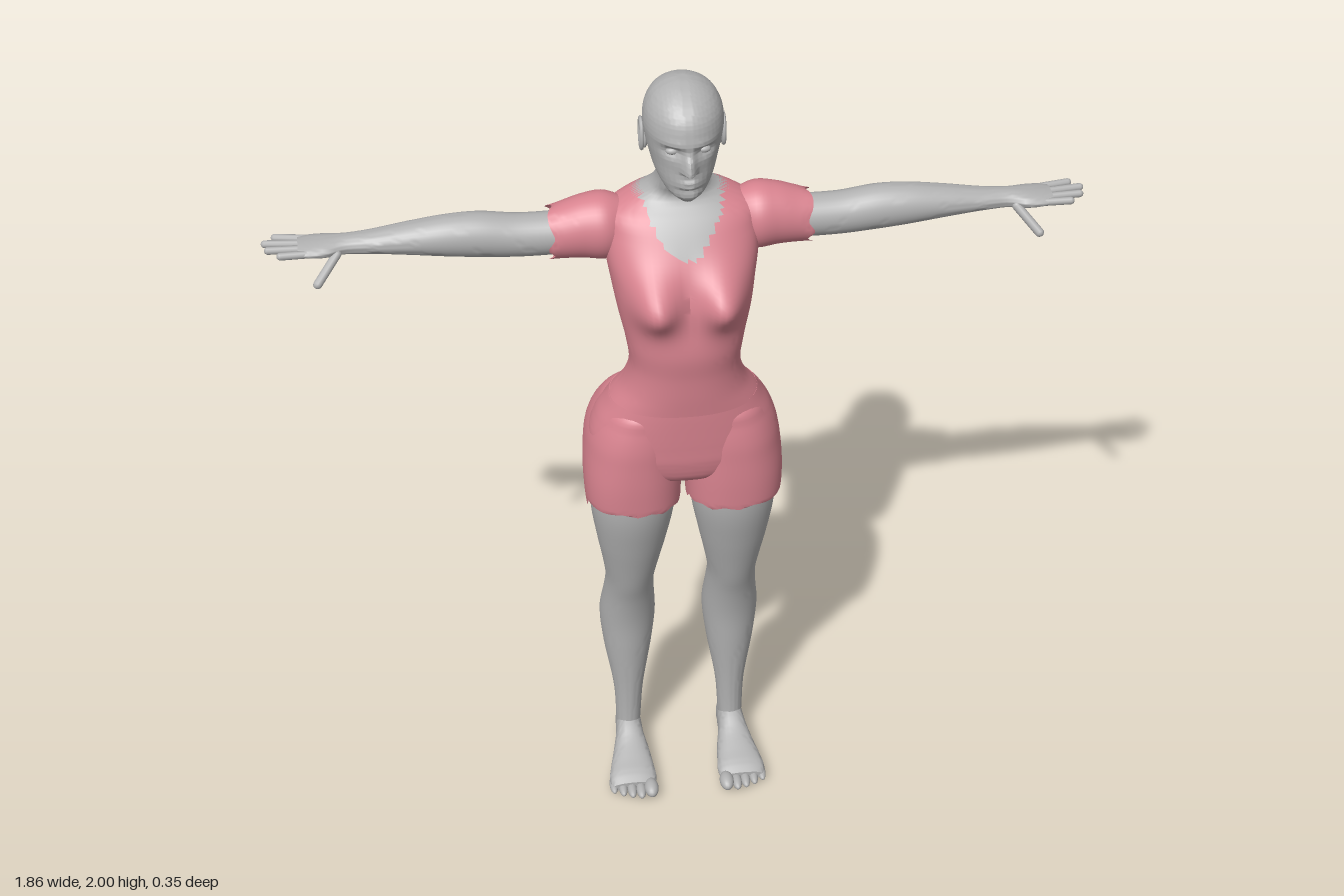
import * as THREE from 'three';
import { toCreasedNormals } from 'three/addons/utils/BufferGeometryUtils.js';

const skin = new THREE.MeshStandardMaterial({ color: 0xb2b2b2, side: THREE.DoubleSide });
skin.name = 'skin grey';
const cloth = new THREE.MeshStandardMaterial({ color: 0xd8838f, side: THREE.DoubleSide });
cloth.name = 'cloth pink';

const bump = (d, r) => Math.exp(-((d / r) ** 2));

// Smooth skin through cross-sections [s, uMin, uMax, vMin, vMax] along an axis (0 x, 1 y, 2 z);
// a row of four gives a half width instead of vMin and vMax
function loft(axis, rows, { seg = 32, steps = 32, power = 1, cap = true, warp } = {}) {
  const full = rows.map(r => (r.length === 4 ? [r[0], r[1], r[2], -r[3], r[3]] : r));
  const curve = new THREE.CubicInterpolant(full.map(r => r[0]), full.flatMap(r => r.slice(1)), 4, new Float32Array(4));
  const s0 = full[0][0], s1 = full[full.length - 1][0];
  const pos = [], index = [];
  const add = (s, u, v) => {
    const p = new THREE.Vector3();
    p.setComponent(axis, s).setComponent((axis + 1) % 3, u).setComponent((axis + 2) % 3, v);
    if (warp) warp(p);
    pos.push(p.x, p.y, p.z);
  };
  const bend = c => Math.sign(c) * Math.abs(c) ** power;
  for (let i = 0; i <= steps; i++) {
    const s = i === steps ? s1 : s0 + (s1 - s0) * i / steps;
    const [a, b, c, d] = curve.evaluate(s);
    for (let j = 0; j < seg; j++) {
      const t = j / seg * Math.PI * 2;
      add(s, (a + b) / 2 + (b - a) / 2 * bend(Math.cos(t)), (c + d) / 2 + (d - c) / 2 * bend(Math.sin(t)));
      if (i < steps) {
        const k = i * seg + j, n = i * seg + (j + 1) % seg;
        index.push(k, n, k + seg, n, n + seg, k + seg);
      }
    }
  }
  if (cap) {
    for (const [r, base] of [[full[0], 0], [full[full.length - 1], steps * seg]]) {
      const centre = pos.length / 3;
      add(r[0], (r[1] + r[2]) / 2, (r[3] + r[4]) / 2);
      for (let j = 0; j < seg; j++) {
        const a = base + j, b = base + (j + 1) % seg;
        index.push(...(base ? [a, b, centre] : [b, a, centre]));
      }
    }
  }
  const g = new THREE.BufferGeometry();
  g.setAttribute('position', new THREE.Float32BufferAttribute(pos, 3));
  g.setIndex(index);
  return toCreasedNormals(g, 1);
}

// Keep only the triangles whose centre passes a test
function pick(geo, test) {
  const P = geo.attributes.position.array, N = geo.attributes.normal.array, p = [], n = [];
  for (let i = 0; i < P.length; i += 9) {
    const mid = k => (P[i + k] + P[i + k + 3] + P[i + k + 6]) / 3;
    if (test(mid(0), mid(1), mid(2))) { p.push(...P.slice(i, i + 9)); n.push(...N.slice(i, i + 9)); }
  }
  const g = new THREE.BufferGeometry();
  g.setAttribute('position', new THREE.Float32BufferAttribute(p, 3));
  g.setAttribute('normal', new THREE.Float32BufferAttribute(n, 3));
  return g;
}

// Copy reflected across x, with the corner order turned round
function mirror(geo) {
  const g = geo.index ? geo.toNonIndexed() : geo.clone();
  for (const name of ['position', 'normal']) {
    const a = g.attributes[name].array;
    for (let i = 0; i < a.length; i += 9) {
      for (let k = 0; k < 3; k++) {
        const t = a[i + 3 + k]; a[i + 3 + k] = a[i + 6 + k]; a[i + 6 + k] = t;
        a[i + 3 * k] *= -1;
      }
    }
  }
  return g;
}

function ball(x, y, z, rx, ry, rz, tilt = 0) {
  return new THREE.SphereGeometry(1, 20, 14).scale(rx, ry, rz).rotateX(tilt).translate(x, y, z);
}

function finger(a, b, r) {
  const p = new THREE.Vector3(...a), d = new THREE.Vector3(...b).sub(p);
  const q = new THREE.Quaternion().setFromUnitVectors(new THREE.Vector3(0, 1, 0), d.clone().normalize());
  const m = p.clone().addScaledVector(d, 0.5);
  return new THREE.CapsuleGeometry(r, d.length(), 5, 10).applyQuaternion(q).translate(m.x, m.y, m.z);
}

export function createModel() {
  const model = new THREE.Group();
  model.name = 'figure';
  const add = (name, geo, mat) => {
    const m = new THREE.Mesh(geo, mat);
    m.name = name;
    model.add(m);
  };
  const pair = (name, geo, mat) => {
    add(name + 'Left', geo, mat);
    add(name + 'Right', mirror(geo), mat);
  };

  // Trunk and neck, divided at the ragged neckline
  const trunk = loft(1, [
    [1.185, -0.112, 0.12, 0.175], [1.23, -0.09, 0.125, 0.145], [1.29, -0.072, 0.13, 0.128],
    [1.36, -0.08, 0.138, 0.135], [1.43, -0.1, 0.13, 0.15], [1.5, -0.125, 0.113, 0.163],
    [1.56, -0.135, 0.098, 0.172], [1.62, -0.14, 0.065, 0.172], [1.66, -0.135, 0.035, 0.165],
    [1.69, -0.125, 0.005, 0.115], [1.705, -0.115, 0, 0.08], [1.73, -0.1, 0.015, 0.06],
    [1.77, -0.09, 0.035, 0.053], [1.82, -0.085, 0.04, 0.05],
  ], {
    seg: 72, steps: 64, power: 0.9,
    warp: p => {
      if (p.z > 0) p.z += 0.072 * bump(Math.abs(p.x) - 0.08, 0.055) * bump(p.y - 1.495, 0.06) * Math.min(1, p.z / 0.05);
      else p.z += 0.015 * bump(p.x, 0.025) * bump(p.y - 1.45, 0.16);
    },
  });
  const bare = (x, y, z) => y > (z > -0.04 ? Math.min(1.7, 1.585 + 13 * x * x) : 1.695);
  add('shirt', pick(trunk, (x, y, z) => !bare(x, y, z)), cloth);
  add('neckAndChest', pick(trunk, bare), skin);

  // Head with brow, sockets, nose, lips and chin pushed out of the front
  add('head', loft(1, [
    [1.745, 0.03, 0.093, 0.02], [1.76, 0, 0.104, 0.04], [1.78, -0.03, 0.106, 0.055],
    [1.8, -0.072, 0.108, 0.066], [1.83, -0.094, 0.108, 0.075], [1.87, -0.108, 0.112, 0.084],
    [1.91, -0.112, 0.113, 0.088], [1.95, -0.1, 0.098, 0.079], [1.98, -0.068, 0.063, 0.056],
    [1.995, -0.033, 0.03, 0.028], [2, -0.01, 0.007, 0.008],
  ], {
    seg: 96, steps: 90,
    warp: p => {
      if (p.z < 0.03) return;
      const x = Math.abs(p.x), y = p.y;
      p.z += 0.034 * bump(x, 0.012) * bump(y - 1.835, y < 1.835 ? 0.011 : 0.03)
        + 0.009 * bump(x - 0.011, 0.008) * bump(y - 1.832, 0.008)
        - 0.014 * bump(x - 0.034, 0.02) * bump(y - 1.873, 0.013)
        + 0.005 * bump(x - 0.03, 0.028) * bump(y - 1.893, 0.008)
        + 0.008 * bump(x, 0.02) * (bump(y - 1.802, 0.006) + bump(y - 1.789, 0.006))
        - 0.004 * bump(x, 0.03) * bump(y - 1.776, 0.006);
    },
  }), skin);
  pair('eye', ball(0.034, 1.872, 0.086, 0.015, 0.009, 0.011), skin);
  pair('ear', ball(0.083, 1.862, -0.012, 0.008, 0.033, 0.019, -0.2), skin);
  pair('earRim', new THREE.TorusGeometry(0.019, 0.005, 8, 24).rotateY(Math.PI / 2).scale(1, 1.65, 1)
    .rotateX(-0.2).translate(0.09, 1.862, -0.013), skin);

  // Shorts: pelvis between two full leg tubes with uneven hems
  add('shortsPelvis', loft(1, [
    [0.95, -0.03, 0.05, 0.07], [0.98, -0.08, 0.09, 0.15], [1.03, -0.115, 0.109, 0.215], [1.08, -0.13, 0.113, 0.222],
    [1.13, -0.13, 0.115, 0.206], [1.17, -0.115, 0.116, 0.183], [1.19, -0.107, 0.116, 0.172],
  ], { seg: 48, power: 0.85 }), cloth);
  pair('shortsLeg', loft(1, [
    [0.87, -0.115, 0.108, 0.008, 0.232], [0.92, -0.116, 0.111, 0.006, 0.236], [0.97, -0.135, 0.113, 0.003, 0.237],
    [1.03, -0.168, 0.113, 0, 0.233], [1.08, -0.172, 0.112, 0, 0.224], [1.13, -0.15, 0.105, 0.006, 0.202],
    [1.17, -0.11, 0.095, 0.015, 0.172], [1.185, -0.08, 0.07, 0.05, 0.14],
  ], {
    seg: 48, power: 0.88, cap: false,
    warp: p => {
      const hem = (p.z > 0.02 ? 0.895 + 0.05 * (p.x - 0.1) : 0.87) + 0.004 * Math.sin(p.x * 90 + p.z * 60);
      p.y = Math.max(p.y, hem);
    },
  }), cloth);

  // Legs
  pair('leg', loft(1, [
    [0.04, -0.118, -0.04, 0.105, 0.163], [0.1, -0.114, -0.043, 0.101, 0.164], [0.2, -0.119, -0.04, 0.094, 0.168],
    [0.35, -0.154, -0.028, 0.07, 0.191], [0.45, -0.164, -0.018, 0.06, 0.199], [0.54, -0.135, 0.003, 0.065, 0.19],
    [0.6, -0.115, 0.024, 0.067, 0.186], [0.67, -0.1, 0.045, 0.056, 0.194], [0.75, -0.096, 0.068, 0.04, 0.207],
    [0.86, -0.105, 0.094, 0.02, 0.222], [0.96, -0.105, 0.1, 0.015, 0.222],
  ], { seg: 36, steps: 48 }), skin);

  // Feet and toes
  pair('foot', loft(2, [
    [-0.137, 0.122, 0.146, 0.014, 0.045], [-0.125, 0.108, 0.158, 0.003, 0.08], [-0.08, 0.1, 0.165, 0, 0.112],
    [-0.04, 0.098, 0.17, 0, 0.1], [0, 0.09, 0.18, 0, 0.078], [0.05, 0.083, 0.193, 0, 0.058],
    [0.09, 0.08, 0.2, 0, 0.044], [0.112, 0.086, 0.194, 0.005, 0.032],
  ], { seg: 28, power: 0.85 }), skin);
  for (let i = 0; i < 5; i++) {
    const r = i ? 0.013 - i * 0.0006 : 0.018;
    pair('toe' + (i + 1), ball(i ? 0.101 + i * 0.0225 : 0.097, r + 0.003, 0.124 - i * i * 0.0018, r, r, 0.031), skin);
  }

  // Sleeves with ragged cuffs
  pair('sleeve', loft(0, [
    [0.12, 1.54, 1.672, -0.105, -0.005], [0.17, 1.532, 1.69, -0.125, 0.018], [0.22, 1.537, 1.684, -0.121, 0.012],
    [0.27, 1.538, 1.668, -0.115, 0.005], [0.3, 1.537, 1.66, -0.112, 0.002],
  ], {
    seg: 40, steps: 20, cap: false,
    warp: p => { if (p.x > 0.27) p.x -= (p.x - 0.27) * (0.25 + 0.25 * Math.sin(p.y * 110 + p.z * 70)); },
  }), cloth);

  // Arms running into the palms
  pair('arm', loft(0, [
    [0.2, 1.55, 1.65, -0.105, -0.005], [0.36, 1.55, 1.65, -0.1, -0.005], [0.45, 1.557, 1.662, -0.1, -0.003],
    [0.52, 1.565, 1.661, -0.096, -0.004], [0.6, 1.575, 1.65, -0.092, -0.01], [0.7, 1.585, 1.634, -0.084, -0.02],
    [0.75, 1.588, 1.63, -0.082, -0.022], [0.79, 1.59, 1.627, -0.092, -0.008], [0.83, 1.594, 1.622, -0.096, -0.008],
    [0.85, 1.599, 1.619, -0.09, -0.014],
  ], { steps: 48 }), skin);

  // Fingers from little to index, then the thumb
  [[0.9, -0.094], [0.922, -0.07], [0.915, -0.042], [0.888, -0.015]].forEach(([tip, z], i) => {
    pair('finger' + (i + 1), finger([0.83, 1.608, -0.085 + i * 0.022], [tip, 1.61, z], 0.0088), skin);
  });
  pair('thumb', finger([0.765, 1.602, -0.022], [0.812, 1.552, 0.018], 0.0105), skin);

  return model;
}
